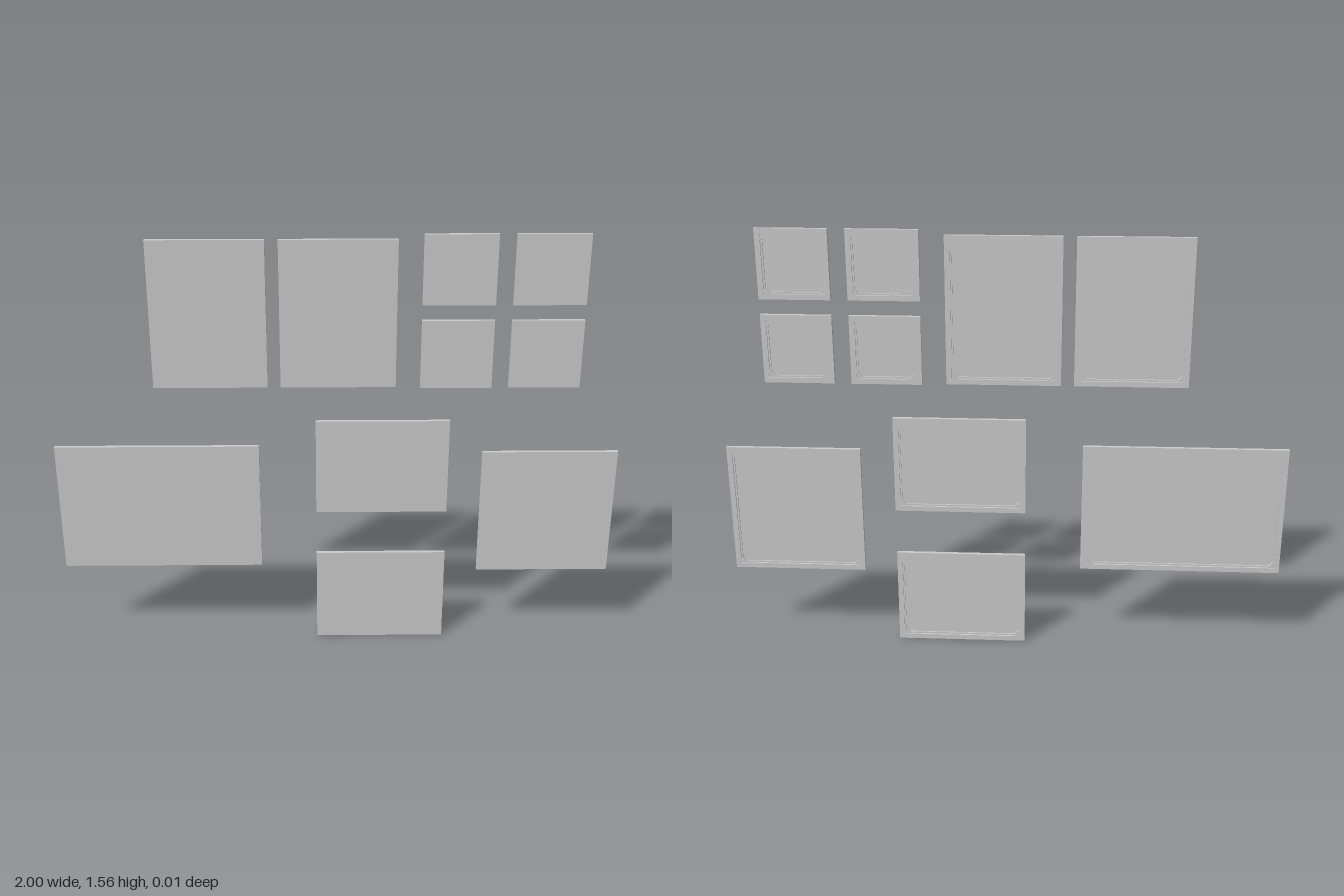
import * as THREE from 'three';

const material = new THREE.MeshStandardMaterial({ color: 0xcccccc, flatShading: true });
const DEPTH = 0.013;   // total panel thickness
const SHEET = 0.002;   // front sheet thickness
const BAR = 0.019;     // stretcher bar width
const LIP = 0.006;     // thin inner step of the bars
const BRACE = 0.026;   // leg of the triangular corner braces

function add(parent, name, geometry, z) {
  const mesh = new THREE.Mesh(geometry, material);
  mesh.name = name;
  mesh.position.z = z;
  parent.add(mesh);
}

function rect(path, w, h) {
  path.moveTo(-w / 2, -h / 2);
  path.lineTo(w / 2, -h / 2);
  path.lineTo(w / 2, h / 2);
  path.lineTo(-w / 2, h / 2);
  path.closePath();
  return path;
}

const extrude = (shape, depth) =>
  new THREE.ExtrudeGeometry(shape, { depth, bevelEnabled: false });

// Rectangular ring of a given bar width
function ring(w, h, bar, depth) {
  const shape = rect(new THREE.Shape(), w, h);
  shape.holes.push(rect(new THREE.Path(), w - 2 * bar, h - 2 * bar));
  return extrude(shape, depth);
}

// One stretched panel from its edges: left, bottom, right, top
function createPanel(x0, y0, x1, y1) {
  const panel = new THREE.Group();
  const w = x1 - x0, h = y1 - y0;
  const back = -DEPTH / 2, sheetBack = DEPTH / 2 - SHEET;
  panel.position.set((x0 + x1) / 2, (y0 + y1) / 2, 0);

  add(panel, 'frontSheet', new THREE.BoxGeometry(w, h, SHEET), DEPTH / 2 - SHEET / 2);
  add(panel, 'stretcherFrame', ring(w, h, BAR, sheetBack - back), back);
  add(panel, 'innerLip', ring(w - 2 * BAR, h - 2 * BAR, LIP, 0.005), sheetBack - 0.005);

  // Triangular braces in the inner corners
  const cx = w / 2 - BAR, cy = h / 2 - BAR;
  for (const sx of [-1, 1]) for (const sy of [-1, 1]) {
    const brace = new THREE.Shape([
      new THREE.Vector2(sx * cx, sy * cy),
      new THREE.Vector2(sx * (cx - BRACE), sy * cy),
      new THREE.Vector2(sx * cx, sy * (cy - BRACE)),
    ]);
    add(panel, 'cornerBrace', extrude(brace, 0.008), sheetBack - 0.008);
  }
  return panel;
}

export function createModel() {
  const model = new THREE.Group();
  model.name = 'wallPanelSet';
  const panels = {
    tallPanelRight: [-0.635, 1.02, -0.24, 1.543],
    tallPanelCentre: [-0.195, 1.02, 0.203, 1.543],
    widePanel: [-1, 0.312, -0.277, 0.795],
    middlePanelUpper: [-0.075, 0.531, 0.397, 0.89],
    middlePanelLower: [-0.075, 0, 0.397, 0.361],
    squarePanel: [0.517, 0.286, 1, 0.768],
  };
  // Two by two group of small panels
  [0.288, 0.594].forEach((x, i) => [1.016, 1.315].forEach((y, j) => {
    panels[`smallPanel${i * 2 + j + 1}`] = [x, y, x + 0.247, y + 0.245];
  }));
  for (const [name, edges] of Object.entries(panels)) {
    const panel = createPanel(...edges);
    panel.name = name;
    model.add(panel);
  }
  return model;
}
